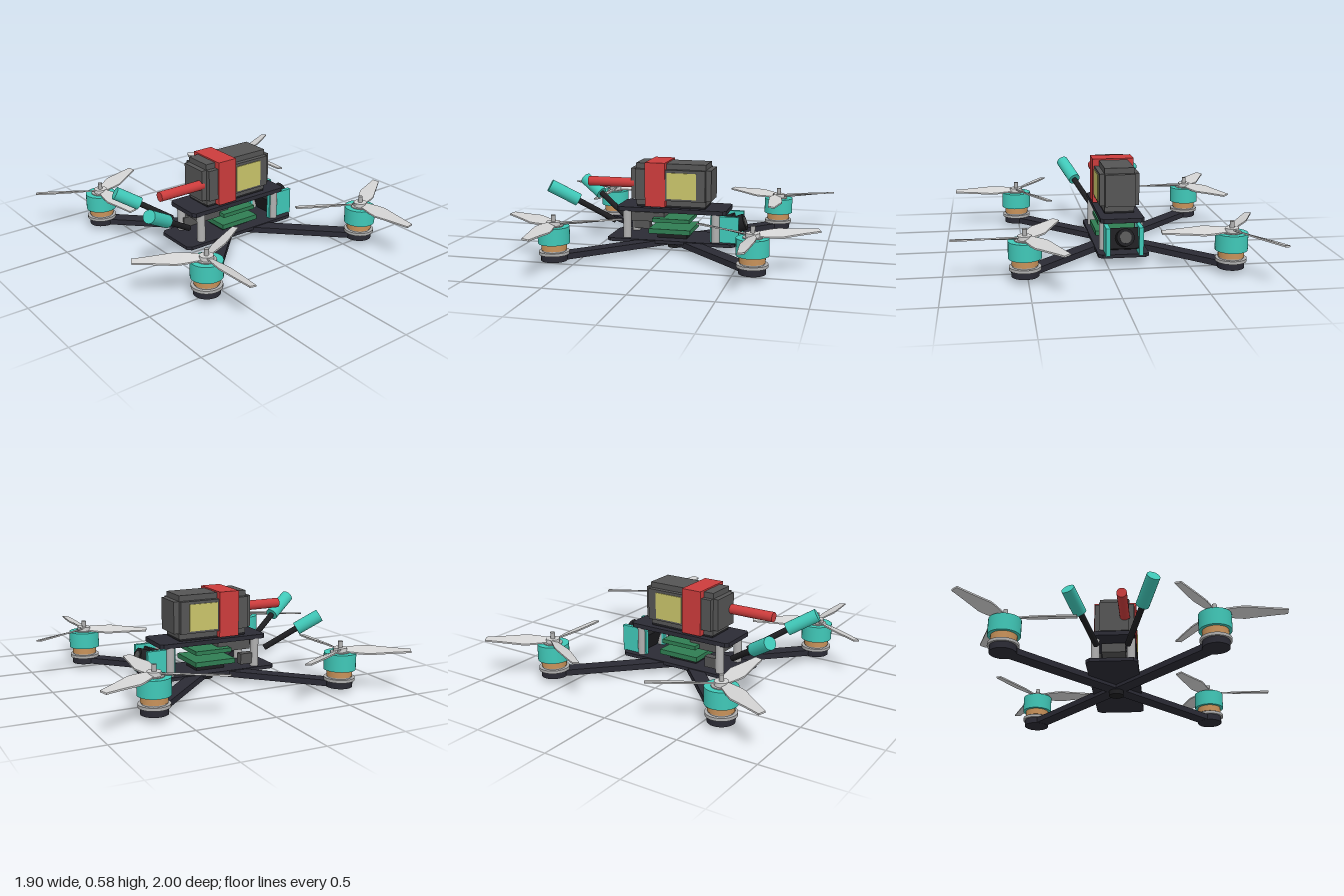
import * as THREE from 'three';

const CX = -0.103, CZ = -0.005, REACH = 0.619;

export function createModel() {
  const model = new THREE.Group();
  model.name = 'quadcopter';
  const mat = (name, color) => {
    const m = new THREE.MeshStandardMaterial({ color });
    m.name = name;
    return m;
  };
  const carbon = mat('carbon', 0x2b2b35), black = mat('black', 0x1e1e21);
  const gray = mat('dark gray', 0x555555), teal = mat('teal', 0x40c8b8);
  const red = mat('red', 0xcc3c3c), yellow = mat('yellow', 0xc9c46a);
  const green = mat('green', 0x2f7d52), metal = mat('metal', 0xb0b0b0);
  const copper = mat('copper', 0xc8925a), plastic = mat('prop plastic', 0xd2d2d2);

  const add = (parent, name, geo, material, x = 0, y = 0, z = 0) => {
    const mesh = new THREE.Mesh(geo, material);
    mesh.name = name;
    mesh.position.set(x, y, z);
    parent.add(mesh);
    return mesh;
  };
  const box = (parent, name, material, w, h, d, x, y, z) =>
    add(parent, name, new THREE.BoxGeometry(w, h, d), material, x, y, z);
  // Upright cylinder between two heights
  const post = (parent, name, material, r, y0, y1, x = 0, z = 0, rTop = r) =>
    add(parent, name, new THREE.CylinderGeometry(rTop, r, y1 - y0, 28), material, x, (y0 + y1) / 2, z);
  // Cylinder between two points
  const rod = (parent, name, material, r, a, b) => {
    const p = new THREE.Vector3(...a), q = new THREE.Vector3(...b);
    const dir = q.clone().sub(p);
    const mesh = add(parent, name, new THREE.CylinderGeometry(r, r, dir.length(), 20), material);
    mesh.position.copy(p).add(q).multiplyScalar(0.5);
    mesh.quaternion.setFromUnitVectors(new THREE.Vector3(0, 1, 0), dir.normalize());
    return mesh;
  };
  // Flat plate with clipped corners
  const plate = (name, w, d, y0, y1, c) => {
    const x = w / 2, z = d / 2;
    const pts = [[-x + c, -z], [x - c, -z], [x, -z + c], [x, z - c], [x - c, z], [-x + c, z], [-x, z - c], [-x, -z + c]];
    const shape = new THREE.Shape(pts.map(([u, v]) => new THREE.Vector2(u, v)));
    const geo = new THREE.ExtrudeGeometry(shape, { depth: y1 - y0, bevelEnabled: false });
    geo.rotateX(-Math.PI / 2);
    add(model, name, geo, carbon, CX, y0, CZ);
  };

  // Frame
  plate('bottomPlate', 0.318, 0.86, 0.052, 0.074, 0.025);
  plate('topPlate', 0.275, 0.74, 0.256, 0.284, 0.02);
  post(model, 'centreBoss', black, 0.047, 0, 0.05, CX, CZ);
  post(model, 'centreBolt', black, 0.015, 0.05, 0.085, CX, CZ);
  for (const s of [-1, 1]) {
    const arm = box(model, 'arm', carbon, REACH * 2 * Math.SQRT2, 0.038, 0.09, CX, 0.05, CZ);
    arm.rotation.y = s * Math.PI / 4;
    for (const t of [-1, 1])
      post(model, 'standoff', metal, 0.027, 0.072, 0.258, CX + s * 0.112, CZ + t * 0.3);
  }

  // Twisted, tapered propeller blade; spin sets the pitch direction
  const bladeGeometry = (spin) => {
    const geo = new THREE.BoxGeometry(1, 1, 1, 8, 1, 1);
    const p = geo.attributes.position;
    for (let i = 0; i < p.count; i++) {
      const t = p.getX(i) + 0.5;
      const half = t < 0.35 ? THREE.MathUtils.lerp(0.022, 0.047, t / 0.35)
        : THREE.MathUtils.lerp(0.047, 0.021, (t - 0.35) / 0.65);
      const pitch = THREE.MathUtils.lerp(0.42, 0.16, t);
      const z = p.getZ(i) * 2 * half;
      p.setXYZ(i, 0.03 + t * 0.398, spin * z * Math.tan(pitch) + p.getY(i) * 0.01, z);
    }
    geo.computeVertexNormals();
    return geo;
  };

  // Motors and propellers
  for (const sx of [-1, 1]) for (const sz of [-1, 1]) {
    const motor = new THREE.Group();
    motor.name = 'motor';
    motor.position.set(CX + sx * REACH, 0, CZ + sz * REACH);
    model.add(motor);
    post(motor, 'armPad', carbon, 0.082, 0.03, 0.071);
    post(motor, 'motorBase', metal, 0.095, 0.071, 0.09);
    post(motor, 'statorFoot', metal, 0.075, 0.09, 0.1);
    post(motor, 'windings', copper, 0.079, 0.098, 0.142);
    post(motor, 'bell', teal, 0.099, 0.14, 0.245);
    post(motor, 'bellCap', metal, 0.06, 0.243, 0.25);
    post(motor, 'propHub', plastic, 0.042, 0.248, 0.275);
    post(motor, 'shaft', metal, 0.014, 0.27, 0.315);
    const geo = bladeGeometry(sx * sz);
    for (let k = 0; k < 3; k++)
      add(motor, 'blade', geo, plastic, 0, 0.26, 0).rotation.y = k * Math.PI * 2 / 3;
  }

  // Electronics stack
  box(model, 'lowerBoard', green, 0.28, 0.032, 0.28, CX, 0.13, CZ + 0.005);
  box(model, 'upperBoard', green, 0.25, 0.026, 0.25, CX, 0.2, CZ);
  box(model, 'videoTransmitter', gray, 0.15, 0.06, 0.23, CX, 0.21, 0.165);
  box(model, 'receiver', gray, 0.05, 0.07, 0.11, CX - 0.1, 0.128, 0.245);
  box(model, 'stackBase', black, 0.15, 0.04, 0.2, CX, 0.093, CZ);

  // Battery built from crossed blocks, with labels, strap and lead
  const battery = new THREE.Group();
  battery.name = 'battery';
  battery.position.set(CX, 0.437, 0);
  model.add(battery);
  box(battery, 'batterySides', gray, 0.252, 0.205, 0.47, 0, 0, 0);
  box(battery, 'batteryCore', gray, 0.19, 0.278, 0.47, 0, 0, 0);
  box(battery, 'batteryEnds', gray, 0.19, 0.205, 0.54, 0, 0, 0);
  box(battery, 'strap', red, 0.272, 0.292, 0.136, 0, 0.002, 0.098);
  for (const s of [-1, 1])
    box(battery, 'label', yellow, 0.006, 0.172, 0.196, s * 0.128, -0.002, -0.078);
  box(model, 'batteryPad', black, 0.19, 0.018, 0.46, CX, 0.291, 0);
  rod(model, 'batteryLead', red, 0.032, [-0.034, 0.437, 0.25], [-0.034, 0.437, 0.572]);

  // Rear camera, tilted upward between two side plates
  for (const s of [-1, 1])
    box(model, 'cameraPlate', teal, 0.027, 0.176, 0.186, CX + s * 0.103, 0.158, -0.363);
  const camera = new THREE.Group();
  camera.name = 'camera';
  camera.position.set(CX, 0.152, -0.36);
  camera.rotation.x = 0.35;
  model.add(camera);
  box(camera, 'cameraBody', black, 0.18, 0.13, 0.12, 0, 0, 0);
  rod(camera, 'lensBarrel', black, 0.055, [0, 0, -0.04], [0, 0, -0.128]);
  rod(camera, 'lensGlass', gray, 0.036, [0, 0, -0.12], [0, 0, -0.132]);

  // Antennas
  rod(model, 'leftAntennaRod', black, 0.019, [-0.008, 0.18, 0.38], [0.1, 0.335, 0.62]);
  rod(model, 'leftAntennaTip', teal, 0.042, [0.092, 0.328, 0.605], [0.165, 0.431, 0.772]);
  rod(model, 'rightAntennaRod', black, 0.019, [-0.198, 0.18, 0.38], [-0.29, 0.32, 0.59]);
  rod(model, 'rightAntennaTip', teal, 0.042, [-0.283, 0.306, 0.572], [-0.342, 0.394, 0.71]);

  return model;
}
